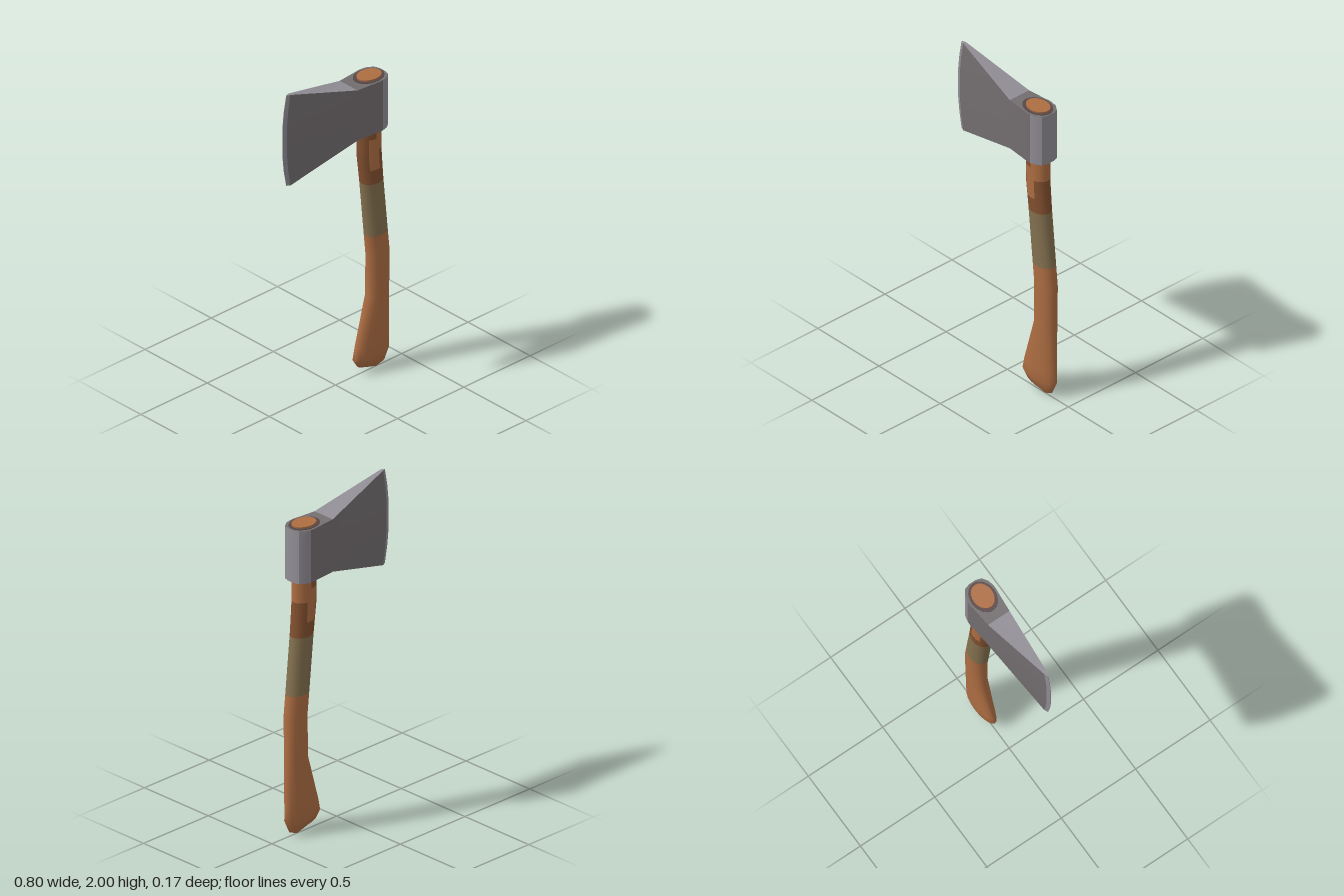
import * as THREE from 'three';
import { toCreasedNormals } from 'three/addons/utils/BufferGeometryUtils.js';

const paint = (name, color) => {
  const m = new THREE.MeshStandardMaterial({ color });
  m.name = name;
  return m;
};

// Collects quads by material and turns them into one mesh with soft curves and sharp edges
class Builder {
  constructor() { this.faces = new Map(); }
  tri(material, a, b, c) {
    if (!this.faces.has(material)) this.faces.set(material, []);
    this.faces.get(material).push(...a, ...b, ...c);
  }
  quad(material, a, b, c, d) {
    this.tri(material, a, b, c);
    this.tri(material, a, c, d);
  }
  mesh(name, crease) {
    let geo = new THREE.BufferGeometry();
    const all = [], materials = [];
    for (const [material, list] of this.faces) {
      geo.addGroup(all.length / 3, list.length / 3, materials.length);
      for (const v of list) all.push(v);
      materials.push(material);
    }
    geo.setAttribute('position', new THREE.Float32BufferAttribute(all, 3));
    geo.scale(100, 100, 100);
    geo = toCreasedNormals(geo, crease);
    geo.scale(0.01, 0.01, 0.01);
    const mesh = new THREE.Mesh(geo, materials.length > 1 ? materials : materials[0]);
    mesh.name = name;
    return mesh;
  }
}

// Elliptical loft; each section is [left x, left y, right x, right y, half depth]
const SIDES = 20;
function loft(name, sections, colourOf) {
  const b = new Builder();
  const rings = sections.map(([xl, yl, xr, yr, d]) =>
    Array.from({ length: SIDES }, (_, i) => {
      const t = (i / SIDES) * Math.PI * 2, u = (1 + Math.cos(t)) / 2;
      return [xl + (xr - xl) * u, yl + (yr - yl) * u, d * Math.sin(t)];
    }));
  for (let r = 0; r < rings.length - 1; r++) {
    for (let i = 0; i < SIDES; i++) {
      const j = (i + 1) % SIDES, lo = rings[r], hi = rings[r + 1];
      const u = Math.cos(((i + 0.5) / SIDES) * Math.PI * 2);
      b.quad(colourOf((lo[i][1] + hi[i][1]) / 2, u), lo[i], hi[i], hi[j], lo[j]);
    }
  }
  // End caps
  const top = rings[rings.length - 1], bottom = rings[0];
  for (let i = 1; i < SIDES - 1; i++) {
    b.tri(colourOf(top[0][1], 0), top[0], top[i + 1], top[i]);
    b.tri(colourOf(bottom[0][1], 0), bottom[0], bottom[i], bottom[i + 1]);
  }
  return b.mesh(name, 0.8);
}

export function createModel() {
  const wood = paint('wood', 0xad6d42);
  const darkWood = paint('dark wood', 0x82502f);
  const wrap = paint('grip wrap', 0x83704f);
  const steel = paint('light steel', 0x918d95);
  const darkSteel = paint('dark steel', 0x736e70);
  const grime = paint('grime', 0x574747);

  const group = new THREE.Group();
  group.name = 'axe';
  const level = (y, xl, xr, d) => [xl, y, xr, y, d];

  // Lower handle with its flared, slanted knob
  group.add(loft('lowerHandle', [
    [0.175, 0.045, 0.31, 0.003, 0.004],
    [0.16, 0.06, 0.365, 0.028, 0.03],
    [0.135, 0.1, 0.397, 0.1, 0.046],
    level(0.17, 0.15, 0.396, 0.047),
    level(0.47, 0.237, 0.391, 0.052),
    level(0.73, 0.24, 0.394, 0.053),
    level(0.865, 0.228, 0.379, 0.055),
  ], () => wood));

  // Grip wrap
  group.add(loft('gripWrap', [
    level(0.865, 0.228, 0.379, 0.055),
    level(1.21, 0.196, 0.344, 0.057),
  ], () => wrap));

  // Upper handle, stained below the head, running through the socket
  const stain = (y, u) => {
    if (y > 1.55) return wood;
    if (y < 1.3) return darkWood;
    if (y < 1.42) return Math.abs(u + 0.1) < 0.45 ? wood : darkWood;
    if (y < 1.5) return u < -0.55 ? darkWood : wood;
    return u < 0.1 ? darkWood : wood;
  };
  group.add(loft('upperHandle', [
    level(1.21, 0.196, 0.344, 0.057),
    level(1.3, 0.186, 0.337, 0.058),
    level(1.38, 0.176, 0.332, 0.058),
    level(1.42, 0.175, 0.331, 0.058),
    level(1.5, 0.175, 0.331, 0.059),
    level(1.55, 0.175, 0.331, 0.059),
    level(1.886, 0.175, 0.331, 0.059),
  ], stain));

  // Axe head columns: [x, bulge towards the edge, bottom y, top y, half thickness]
  const columns = [
    [-0.372, 0.028, 1.425, 2.0, 0.001],
    [-0.35, 0.025, 1.422, 2.0, 0.01],
    [0.1, 0, 1.555, 1.875, 0.072],
    [0.2, 0, 1.555, 1.875, 0.081],
    [0.255, 0, 1.555, 1.875, 0.087],
    [0.28, 0, 1.555, 1.875, 0.085],
    [0.312, 0, 1.555, 1.875, 0.078],
    [0.345, 0, 1.555, 1.875, 0.055],
    [0.355, 0, 1.555, 1.875, 0.022],
  ];
  const ROWS = 6;
  const point = (c, row, side) => {
    const [x, bulge, y0, y1, d] = columns[c], v = row / ROWS;
    const curve = Math.min(1, 1.15 * (1 - (2 * v - 1) ** 2));
    return [x - bulge * curve, y0 + (y1 - y0) * v, d * side];
  };
  const head = new Builder();
  const last = columns.length - 1;
  for (let c = 0; c < last; c++) {
    const cheek = c >= 1 && c < 5 ? darkSteel : steel;
    for (let r = 0; r < ROWS; r++) {
      head.quad(cheek, point(c, r, 1), point(c + 1, r, 1), point(c + 1, r + 1, 1), point(c, r + 1, 1));
      head.quad(cheek, point(c + 1, r, -1), point(c, r, -1), point(c, r + 1, -1), point(c + 1, r + 1, -1));
    }
    head.quad(c < 2 ? steel : darkSteel,
      point(c, ROWS, 1), point(c + 1, ROWS, 1), point(c + 1, ROWS, -1), point(c, ROWS, -1));
    head.quad(grime, point(c, 0, -1), point(c + 1, 0, -1), point(c + 1, 0, 1), point(c, 0, 1));
  }
  // Cutting edge and flat of the butt
  for (let r = 0; r < ROWS; r++) {
    head.quad(steel, point(0, r, -1), point(0, r, 1), point(0, r + 1, 1), point(0, r + 1, -1));
    head.quad(steel, point(last, r, 1), point(last, r, -1), point(last, r + 1, -1), point(last, r + 1, 1));
  }
  group.add(head.mesh('axeHead', 0.62));

  // Grime around the handle on top of the socket
  const ring = new THREE.Mesh(new THREE.CylinderGeometry(1, 1, 0.004, 28), grime);
  ring.name = 'socketGrime';
  ring.scale.set(0.097, 1, 0.074);
  ring.position.set(0.25, 1.876, 0);
  group.add(ring);

  return group;
}
